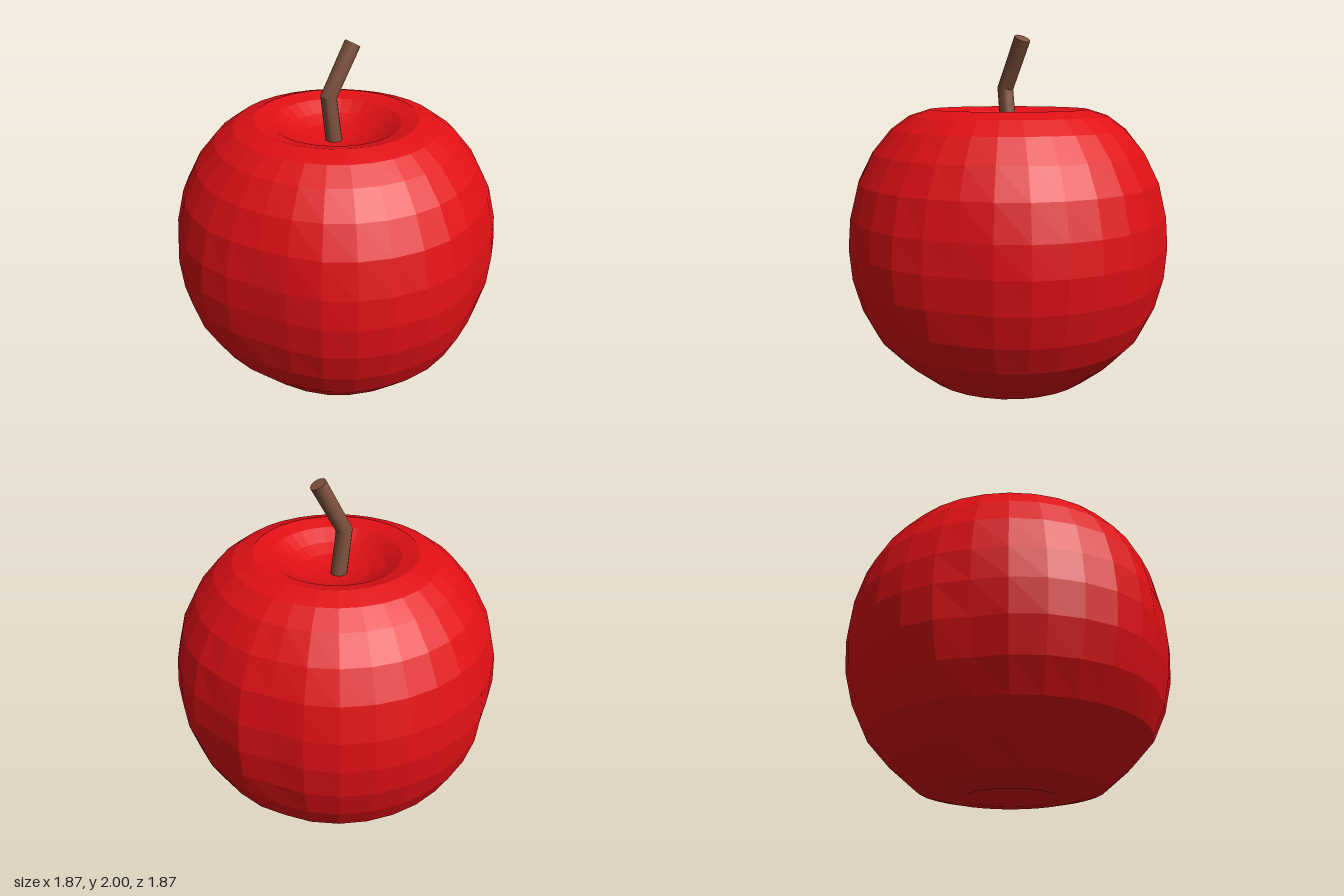
import * as THREE from 'three';
import { toCreasedNormals } from 'three/addons/utils/BufferGeometryUtils.js';

// Outline of the fruit [radius, height], from the bottom hollow to the stem hollow
const PROFILE = [
  [0, 0.07], [0.12, 0.05], [0.25, 0.005], [0.4, 0.02], [0.51, 0.045], [0.66, 0.17], [0.79, 0.31],
  [0.87, 0.47], [0.92, 0.65], [0.935, 0.83], [0.92, 1.0], [0.87, 1.19], [0.785, 1.35],
  [0.675, 1.48], [0.57, 1.555], [0.455, 1.59], [0.36, 1.565], [0.27, 1.51], [0.19, 1.475],
  [0.1, 1.455], [0, 1.45],
];

// Shallow dents: direction (degrees from +x towards +z), height, depth, spread in degrees and height
const DENTS = [
  [-45, 0.85, 0.035, 10, 0.5],
  [-22, 0.85, 0.03, 8, 0.4],
  [145, 0.8, 0.055, 18, 0.5],
  [57, 0.8, 0.035, 14, 0.45],
  [-137, 0.6, 0.03, 9, 0.35],
  [175, 0.2, 0.025, 25, 0.15],
];

function createFruit() {
  const points = PROFILE.map(([r, y]) => new THREE.Vector2(r, y));
  const geometry = new THREE.LatheGeometry(points, 32);
  const pos = geometry.attributes.position;
  for (let i = 0; i < pos.count; i++) {
    const x = pos.getX(i), y = pos.getY(i), z = pos.getZ(i);
    const r = Math.hypot(x, z);
    if (r < 0.5) continue;
    const angle = THREE.MathUtils.radToDeg(Math.atan2(z, x));
    let depth = 0;
    for (const [a, h, d, spread, tall] of DENTS) {
      const turn = THREE.MathUtils.euclideanModulo(angle - a + 180, 360) - 180;
      depth += d * Math.exp(-((turn / spread) ** 2) - ((y - h) / tall) ** 2);
    }
    pos.setX(i, x * (1 - depth / r));
    pos.setZ(i, z * (1 - depth / r));
  }
  const material = new THREE.MeshStandardMaterial({ color: 0xe01015, flatShading: true });
  const mesh = new THREE.Mesh(geometry, material);
  mesh.name = 'fruit';
  return mesh;
}

// Stem: a cylinder whose three rings are moved onto a bent centre line
function createStem() {
  const rings = [
    { x: -0.01, y: 1.44, tilt: 0.14 },
    { x: -0.043, y: 1.705, tilt: -0.18 },
    { x: 0.105, y: 1.98, tilt: -0.49 },
  ];
  const geometry = new THREE.CylinderGeometry(0.046, 0.046, 2, 16, 2);
  const pos = geometry.attributes.position;
  for (let i = 0; i < pos.count; i++) {
    const ring = rings[Math.round(pos.getY(i)) + 1];
    const x = pos.getX(i);
    pos.setXYZ(i, ring.x + x * Math.cos(ring.tilt), ring.y + x * Math.sin(ring.tilt), pos.getZ(i) - 0.01);
  }
  const material = new THREE.MeshStandardMaterial({ color: 0x80523f });
  const mesh = new THREE.Mesh(toCreasedNormals(geometry, 0.5), material);
  mesh.name = 'stem';
  return mesh;
}

export function createModel() {
  const apple = new THREE.Group();
  apple.name = 'apple';
  apple.add(createFruit(), createStem());
  return apple;
}
